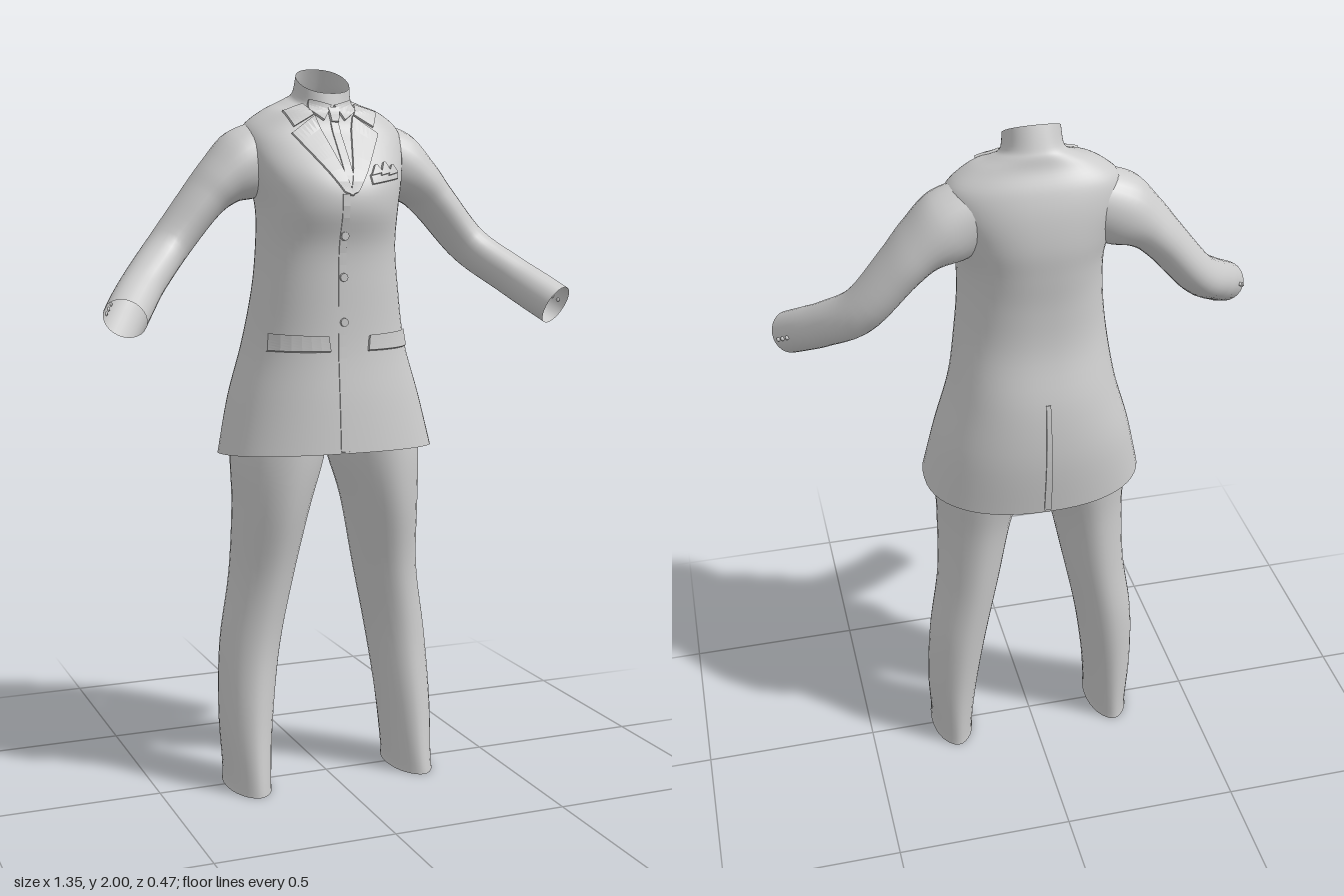
import * as THREE from 'three';

const material = new THREE.MeshStandardMaterial({ color: 0xcccccc, side: THREE.DoubleSide });

// Jacket cross-sections: y, half width, front z, back z, forward tilt
const JACKET = [
  [0.95, 0.305, 0.205, -0.23, -0.08], [1.1, 0.27, 0.19, -0.24, -0.02],
  [1.25, 0.227, 0.172, -0.225, 0], [1.4, 0.203, 0.165, -0.187, 0],
  [1.52, 0.192, 0.165, -0.18, 0], [1.62, 0.193, 0.188, -0.186, 0],
  [1.7, 0.21, 0.172, -0.19, 0], [1.78, 0.228, 0.112, -0.18, 0],
  [1.84, 0.222, 0.068, -0.16, 0.05], [1.885, 0.165, 0.052, -0.135, 0.1],
  [1.905, 0.11, 0.046, -0.125, 0.25], [1.92, 0.08, 0.044, -0.115, 0.35],
  [1.965, 0.073, 0.037, -0.092, 0.55],
];
// Trouser leg: y, inner x, outer x, front z, back z
const LEG = [
  [0, 0.187, 0.31, 0.14, -0.115], [0.04, 0.187, 0.308, 0.134, -0.115],
  [0.2, 0.17, 0.316, 0.105, -0.12], [0.4, 0.14, 0.307, 0.082, -0.132],
  [0.6, 0.1, 0.278, 0.095, -0.14], [0.8, 0.058, 0.27, 0.135, -0.15],
  [0.95, 0.012, 0.272, 0.147, -0.17], [1.1, -0.01, 0.25, 0.14, -0.18],
];
// Sleeve: centre x, y, z, radius up and down, radius front to back
const SLEEVE = [
  [0.13, 1.785, -0.06, 0.085, 0.08], [0.22, 1.74, -0.055, 0.098, 0.095],
  [0.29, 1.695, -0.052, 0.073, 0.093], [0.35, 1.635, -0.05, 0.06, 0.086],
  [0.45, 1.515, -0.028, 0.056, 0.073], [0.535, 1.435, 0.06, 0.056, 0.064],
  [0.585, 1.387, 0.13, 0.058, 0.06], [0.622, 1.35, 0.188, 0.058, 0.058],
];

// Smooth interpolation through the rows of a table, v from 0 to 1
function sample(rows, v) {
  const s = v * (rows.length - 1);
  const i = Math.min(Math.floor(s), rows.length - 2), t = s - i;
  const row = (k) => rows[Math.max(0, Math.min(rows.length - 1, k))];
  return rows[0].map((_, c) => {
    const [a, b, d, e] = [row(i - 1)[c], row(i)[c], row(i + 1)[c], row(i + 2)[c]];
    return b + 0.5 * t * (d - a + t * (2 * a - 5 * b + 4 * d - e + t * (3 * (b - d) + e - a)));
  });
}

// Skin a list of closed rings
function loft(name, rings) {
  const n = rings[0].length, index = [];
  for (let i = 0; i < rings.length - 1; i++) {
    for (let j = 0; j < n; j++) {
      const a = i * n + j, b = i * n + (j + 1) % n;
      index.push(a, b, a + n, b, b + n, a + n);
    }
  }
  const g = new THREE.BufferGeometry().setFromPoints(rings.flat());
  g.setIndex(index);
  g.computeVertexNormals();
  return named(name, g);
}

function named(name, geometry) {
  const m = new THREE.Mesh(geometry, material);
  m.name = name;
  return m;
}

const POWER = 2.3;
const rings = (rows, steps, sides, point) => Array.from({ length: steps + 1 }, (_, i) =>
  Array.from({ length: sides }, (_, j) => point(sample(rows, i / steps), j / sides * Math.PI * 2, i / steps)));
const bend = (c) => Math.sign(c) * Math.abs(c) ** (2 / POWER);

function jacketBody() {
  return loft('jacketBody', rings(JACKET, 60, 56, ([y, w, zf, zb, tilt], a) => {
    const dz = -bend(Math.sin(a)) * (zf - zb) / 2;
    return new THREE.Vector3(w * bend(Math.cos(a)), y - tilt * dz, (zf + zb) / 2 + dz);
  }));
}

// Point on the front (side 1) or back (side -1) of the jacket at x, y
function onJacket(x, y, side = 1) {
  let lo = 0, hi = 1, z = 0;
  for (let k = 0; k < 24; k++) {
    const v = (lo + hi) / 2, [y0, w, zf, zb, tilt] = sample(JACKET, v);
    const dz = side * (zf - zb) / 2 * Math.max(0, 1 - Math.abs(x / w) ** POWER) ** (1 / POWER);
    z = (zf + zb) / 2 + dz;
    if (y0 - tilt * dz < y) lo = v; else hi = v;
  }
  return new THREE.Vector3(x, y, z);
}

// Thin cloth panel that follows the jacket; corners run counter-clockwise
function panel(name, corners, lift = 0.006, side = 1, n = 8) {
  const [A, B, C, D] = corners, pts = [], index = [];
  const clamp = (k) => Math.max(0, Math.min(1, (k - 1) / (n - 2)));
  for (let i = 0; i <= n; i++) {
    for (let j = 0; j <= n; j++) {
      const u = clamp(j), v = clamp(i);
      const mix = (k) => (A[k] * (1 - u) + B[k] * u) * (1 - v) + (D[k] * (1 - u) + C[k] * u) * v;
      const h = i % n === 0 || j % n === 0 ? -0.003 : lift;
      pts.push(onJacket(mix(0), mix(1), side).add(new THREE.Vector3(0, h * 0.4, h * side)));
      if (i < n && j < n) {
        const a = i * (n + 1) + j, b = a + 1, c = a + n + 1;
        index.push(a, b, c, b, c + 1, c);
      }
    }
  }
  const g = new THREE.BufferGeometry().setFromPoints(pts);
  g.setIndex(index);
  const flat = g.toNonIndexed();
  flat.computeVertexNormals();
  return named(name, flat);
}

// Corners mirrored in x, reversed so they still run counter-clockwise
const mirrored = (c, s) => s > 0 ? c : c.map(([x, y]) => [-x, y]).reverse();

function sleeve(s) {
  const at = (v) => { const r = sample(SLEEVE, v); return new THREE.Vector3(s * r[0], r[1], r[2]); };
  const frame = (v) => {
    const t = at(Math.min(1, v + 0.01)).sub(at(Math.max(0, v - 0.01))).normalize();
    const u = new THREE.Vector3(0, 0, 1).addScaledVector(t, -t.z).normalize();
    return [u, t.clone().cross(u)];
  };
  const point = (v, a, grow = 0) => {
    const r = sample(SLEEVE, v), [u, w] = frame(v);
    return at(v).addScaledVector(u, (r[4] + grow) * Math.cos(a)).addScaledVector(w, (r[3] + grow) * Math.sin(a));
  };
  const group = new THREE.Group();
  group.name = s > 0 ? 'leftSleeve' : 'rightSleeve';
  group.add(loft('sleeve', rings(SLEEVE, 36, 28, (r, a, v) => point(v, a))));
  // Cuff buttons on the outer back of the sleeve
  for (const v of [0.87, 0.905, 0.94]) {
    const b = named('cuffButton', new THREE.SphereGeometry(0.006, 8, 6));
    b.position.copy(point(v, Math.PI + s * 0.6, 0.001));
    group.add(b);
  }
  return group;
}

function trouserLeg(s) {
  return loft(s > 0 ? 'leftTrouserLeg' : 'rightTrouserLeg', rings(LEG, 35, 32, ([y, xi, xo, zf, zb], a) => {
    const sn = -Math.sin(a), mid = s * (xi + xo) / 2;
    const x = mid + (xo - xi) / 2 * Math.cos(a) * (1 - 0.12 * sn ** 6); // pressed crease
    return new THREE.Vector3(x, y, (zf + zb) / 2 + (zf - zb) / 2 * sn);
  }));
}

function button(x, y) {
  const b = named('frontButton', new THREE.CylinderGeometry(0.011, 0.012, 0.01, 16));
  b.rotation.x = Math.PI / 2;
  b.position.copy(onJacket(x, y)).z += 0.004;
  return b;
}

export function createModel() {
  const model = new THREE.Group();
  model.name = 'suit';
  model.add(jacketBody());
  for (const s of [1, -1]) {
    model.add(sleeve(s), trouserLeg(s));
    // Lapel, jacket collar and shirt collar
    model.add(panel('lapel', mirrored([[-0.005, 1.655], [0.02, 1.665], [0.125, 1.82], [0.055, 1.868]], s), 0.007));
    model.add(panel('jacketCollar', mirrored([[0.058, 1.87], [0.115, 1.838], [0.135, 1.88], [0.075, 1.9]], s), 0.008));
    model.add(panel('shirtCollar', mirrored([[0.004, 1.895], [0.03, 1.855], [0.068, 1.882], [0.06, 1.91]], s), 0.009));
  }
  // Tie
  model.add(panel('tieKnot', [[-0.01, 1.85], [0.01, 1.85], [0.016, 1.888], [-0.016, 1.888]], 0.011));
  model.add(panel('tie', [[-0.012, 1.68], [0.012, 1.68], [0.011, 1.85], [-0.011, 1.85]], 0.004));
  // Front overlap, buttons and back vent
  model.add(panel('frontEdge', [[-0.036, 0.972], [-0.012, 0.972], [-0.005, 1.66], [-0.025, 1.66]], 0.003, 1, 24));
  for (const y of [1.55, 1.44, 1.32]) model.add(button(-0.015, y));
  model.add(panel('backVent', [[0.012, 0.94], [-0.008, 0.94], [-0.006, 1.27], [0.006, 1.27]], 0.004, -1, 14));
  // Hip pocket flaps
  for (const s of [1, -1]) {
    model.add(panel('pocketFlap', mirrored([[0.055, 1.24], [0.205, 1.24], [0.2, 1.285], [0.06, 1.28]], s), 0.01));
  }
  // Breast pocket with folded handkerchief
  model.add(panel('breastPocket', [[0.065, 1.685], [0.16, 1.7], [0.16, 1.722], [0.062, 1.71]], 0.007));
  for (const [x, y] of [[0.085, 1.735], [0.115, 1.742], [0.142, 1.736]]) {
    model.add(panel('handkerchief', [[x - 0.022, 1.706], [x + 0.018, 1.714], [x + 0.003, y], [x - 0.003, y]], 0.012));
  }
  return model;
}
